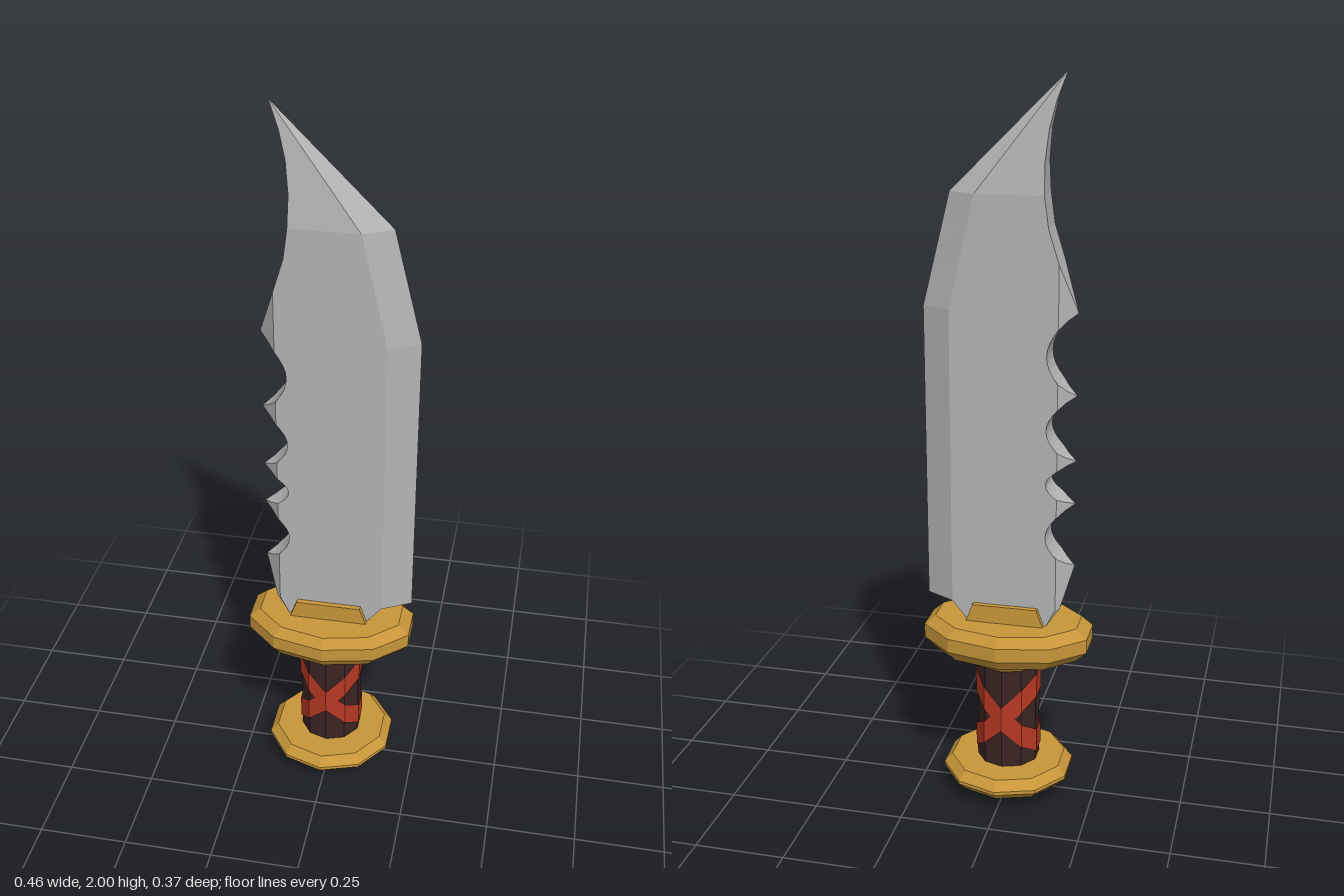
import * as THREE from 'three';

const flat = (name, color) => {
  const m = new THREE.MeshStandardMaterial({ color, flatShading: true });
  m.name = name;
  return m;
};

// Piecewise linear lookup in a list of [y, value] pairs
function lookup(points, y) {
  for (let i = 1; i < points.length; i++) {
    const [y0, v0] = points[i - 1], [y1, v1] = points[i];
    if (y <= y1) return v0 + (v1 - v0) * (y - y0) / (y1 - y0);
  }
  return points[points.length - 1][1];
}

function bladeGeometry() {
  const T = 0.043, toothX = -0.185, bevelX = -0.14;
  const edge = [[0.58, 0.23], [1.4, 0.23], [1.7, 0.155], [2, -0.15]];
  const ridge = [[0.58, 0.15], [1.4, 0.15], [1.7, 0.08], [2, -0.15]];
  const rows = [];

  // One cross-section: serrated back on the left, cutting edge on the right
  const addRow = (y, back, ridgeX = lookup(ridge, y), edgeX = lookup(edge, y)) => {
    const t = y > 1.7 ? T * (2 - y) / 0.3 : T;
    const tb = t * THREE.MathUtils.clamp((back - toothX) / (bevelX - toothX), 0, 1);
    const shoulder = Math.max(back, Math.min(bevelX, ridgeX));
    rows.push([
      [back, y, tb], [shoulder, y, t], [ridgeX, y, t], [edgeX, y, 0],
      [ridgeX, y, -t], [shoulder, y, -t], [back, y, -tb],
    ]);
  };

  // Narrow heel, then the step out to the cutting edge
  addRow(0.53, -0.115, 0.11, 0.11);
  addRow(0.58, -0.15, 0.15, 0.15);
  addRow(0.58, -0.15);

  // Scalloped teeth
  const tips = [0.7, 0.88, 1.0, 1.18, 1.4], steps = 12;
  for (let k = 0; k < tips.length - 1; k++) {
    for (let i = 0; i < steps; i++) {
      const u = i / steps;
      const depth = 0.075 * Math.pow(Math.sin(Math.PI * u), 0.8);
      addRow(tips[k] + (tips[k + 1] - tips[k]) * u, toothX + depth);
    }
  }

  // Curved back up to the point
  const spine = [[1.4, -0.185], [1.53, -0.14], [1.62, -0.112], [1.7, -0.101],
    [1.78, -0.099], [1.86, -0.107], [1.93, -0.124], [2, -0.15]];
  spine.forEach(([y, x]) => addRow(y, x));

  const n = rows[0].length, index = [];
  for (let r = 0; r < rows.length - 1; r++) {
    for (let i = 0; i < n; i++) {
      const j = (i + 1) % n;
      const a = r * n + i, b = r * n + j, c = b + n, d = a + n;
      index.push(a, b, c, a, c, d);
    }
  }
  const geo = new THREE.BufferGeometry();
  geo.setAttribute('position', new THREE.Float32BufferAttribute(rows.flat(2), 3));
  geo.setIndex(index);
  const out = geo.toNonIndexed();
  out.computeVertexNormals();
  return out;
}

// Ten-sided turned part from [radius, y] pairs, bottom to top
const turned = (profile) =>
  new THREE.LatheGeometry(profile.map(([r, y]) => new THREE.Vector2(r, y)), 10);

export function createModel() {
  const group = new THREE.Group();
  const steel = flat('steel', 0xb4b4b4);
  const brass = flat('brass', 0xc8963a);
  const grip = flat('darkGrip', 0x3a2422);
  const cloth = flat('redCloth', 0xb83822);
  cloth.side = THREE.DoubleSide;

  const add = (name, geometry, material) => {
    const mesh = new THREE.Mesh(geometry, material);
    mesh.name = name;
    group.add(mesh);
    return mesh;
  };

  add('blade', bladeGeometry(), steel);

  // Pommel with a shallow cone underneath
  add('pommel', turned([[0, 0], [0.16, 0.04], [0.185, 0.065], [0.185, 0.075], [0.162, 0.1], [0, 0.1]]), brass);

  add('handle', turned([[0.088, 0.09], [0.088, 0.41]]), grip);

  // Two tilted bands crossing at the front and back
  for (const side of [1, -1]) {
    const band = new THREE.CylinderGeometry(0.092, 0.092, 0.07, 10, 1, true);
    const p = band.attributes.position;
    for (let i = 0; i < p.count; i++) p.setY(i, p.getY(i) + side * p.getX(i));
    band.computeVertexNormals();
    add(side > 0 ? 'wrapRising' : 'wrapFalling', band, cloth).position.y = 0.25;
  }

  add('lowerCollar', turned([[0, 0.4], [0.092, 0.4], [0.118, 0.435], [0, 0.435]]), brass);

  // Oval guard with chamfered rims
  const guard = turned([[0, 0.433], [0.14, 0.433], [0.16, 0.463], [0.16, 0.503], [0.14, 0.53], [0, 0.53]]);
  const g = guard.attributes.position;
  for (let i = 0; i < g.count; i++) {
    const r = Math.hypot(g.getX(i), g.getZ(i));
    g.setX(i, g.getX(i) * (r > 0.15 ? 0.242 / 0.16 : 0.21 / 0.14));
  }
  guard.computeVertexNormals();
  add('guard', guard, brass);

  // Tapered socket around the heel of the blade
  const outline = new THREE.Shape([[-0.112, 0.52], [0.112, 0.52], [0.09, 0.58], [-0.09, 0.58]]
    .map(([x, y]) => new THREE.Vector2(x, y)));
  const socket = new THREE.ExtrudeGeometry(outline, { depth: 0.116, bevelEnabled: false });
  socket.translate(0, 0, -0.058);
  add('bladeSocket', socket, brass);

  return group;
}
